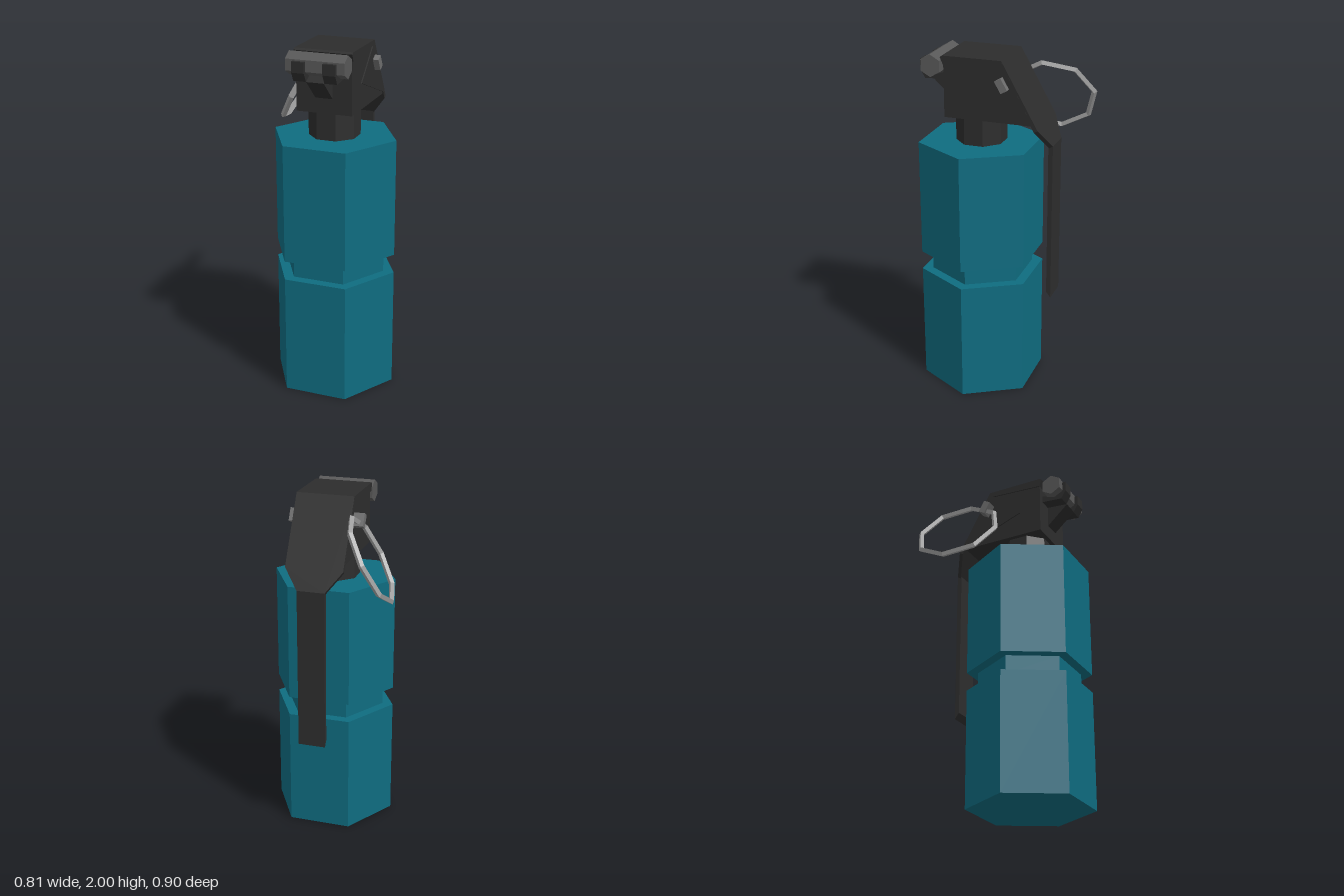
import * as THREE from 'three';

const CX = 0.038, CZ = 0.135; // axis of the canister

function material(name, color) {
  const m = new THREE.MeshStandardMaterial({ color });
  m.name = name;
  m.flatShading = true;
  return m;
}

export function createModel() {
  const teal = material('teal', 0x0f6c80);
  const black = material('black', 0x2d2d2d);
  const darkGrey = material('dark grey', 0x585858);
  const grey = material('grey', 0x6e6e6e);
  const silver = material('silver', 0xa0a0a0);

  const model = new THREE.Group();
  model.name = 'canister';

  function add(name, geometry, mat, x = 0, y = 0, z = 0) {
    const mesh = new THREE.Mesh(geometry, mat);
    mesh.name = name;
    mesh.position.set(x, y, z);
    model.add(mesh);
    return mesh;
  }

  // Upright prism between two heights
  function prism(name, radius, sides, y0, y1, turn, mat) {
    const g = new THREE.CylinderGeometry(radius, radius, y1 - y0, sides);
    g.rotateY(turn);
    return add(name, g, mat, CX, (y0 + y1) / 2, CZ);
  }

  // Side profile of [z, y] points, given a width across x
  function sideProfile(name, points, width, mat, x = CX) {
    const shape = new THREE.Shape(points.map(([z, y]) => new THREE.Vector2(z, y)));
    const g = new THREE.ExtrudeGeometry(shape, { depth: width, bevelEnabled: false });
    g.translate(0, 0, -width / 2);
    g.rotateY(-Math.PI / 2);
    return add(name, g, mat, x);
  }

  // Six-sided body with a groove, and the neck above it
  prism('lowerBody', 0.362, 6, 0, 0.7, Math.PI / 6, teal);
  prism('groove', 0.298, 6, 0.7, 0.81, Math.PI / 6, teal);
  prism('upperBody', 0.362, 6, 0.81, 1.49, Math.PI / 6, teal);
  prism('neck', 0.145, 8, 1.49, 1.65, Math.PI / 8, black);

  // Head block and the lever's side flanges
  sideProfile('head', [[0.295, 1.65], [0.295, 1.98], [-0.04, 1.98], [-0.215, 1.65]], 0.322, black);
  sideProfile('leverFlanges', [[0.16, 1.8], [-0.042, 1.99], [-0.215, 1.66]], 0.335, black);

  // Lever: top plate, tapering slope, long handle
  sideProfile('leverTop',
    [[0.295, 1.95], [0.312, 1.99], [0.3, 2], [-0.042, 2], [-0.042, 1.97]], 0.335, black);
  const slope = new THREE.Shape([
    [-0.167, 0], [-0.167, -0.425], [-0.08, -0.551], [0.08, -0.551], [0.167, -0.425], [0.167, 0],
  ].map(([x, y]) => new THREE.Vector2(x, y)));
  const slopePlate = add('leverSlope',
    new THREE.ExtrudeGeometry(slope, { depth: 0.024, bevelEnabled: false }), black, CX, 2, -0.042);
  slopePlate.rotation.x = 0.512;
  sideProfile('leverHandle',
    [[-0.286, 0.62], [-0.286, 1.53], [-0.312, 1.52], [-0.312, 0.585]], 0.16, black);

  // Hexagonal cross bar at the front, held by two hooks and a wedge
  const bar = new THREE.CylinderGeometry(0.064, 0.064, 0.335, 6);
  bar.rotateZ(Math.PI / 2);
  bar.rotateX(Math.PI / 2);
  add('crossBar', bar, darkGrey, CX, 1.936, 0.372);
  for (const side of [-1, 1]) {
    sideProfile('barHook', [
      [0.295, 1.86], [0.42, 1.85], [0.448, 1.9], [0.448, 1.96],
      [0.425, 1.96], [0.425, 1.9], [0.372, 1.873], [0.295, 1.9],
    ], 0.072, black, CX + side * 0.088);
  }
  sideProfile('barWedge', [[0.29, 1.73], [0.422, 1.85], [0.372, 1.88], [0.29, 1.88]], 0.1, black);

  // Pin through the head, leaning with the slope
  const pin = add('pin', new THREE.BoxGeometry(0.43, 0.075, 0.042), grey, 0.024, 1.87, -0.05);
  pin.rotation.x = 0.512;

  // Eight-sided pull ring hanging off the right end of the pin
  const ring = add('pullRing', new THREE.TorusGeometry(0.25, 0.017, 4, 8), silver, -0.27, 1.695, -0.185);
  const u = new THREE.Vector3(-0.015, 0.04, -0.26).normalize();
  const n = u.clone().cross(new THREE.Vector3(-0.13, -0.23, -0.035)).normalize();
  const v = n.clone().cross(u);
  ring.quaternion.setFromRotationMatrix(new THREE.Matrix4().makeBasis(u, v, n));

  return model;
}
